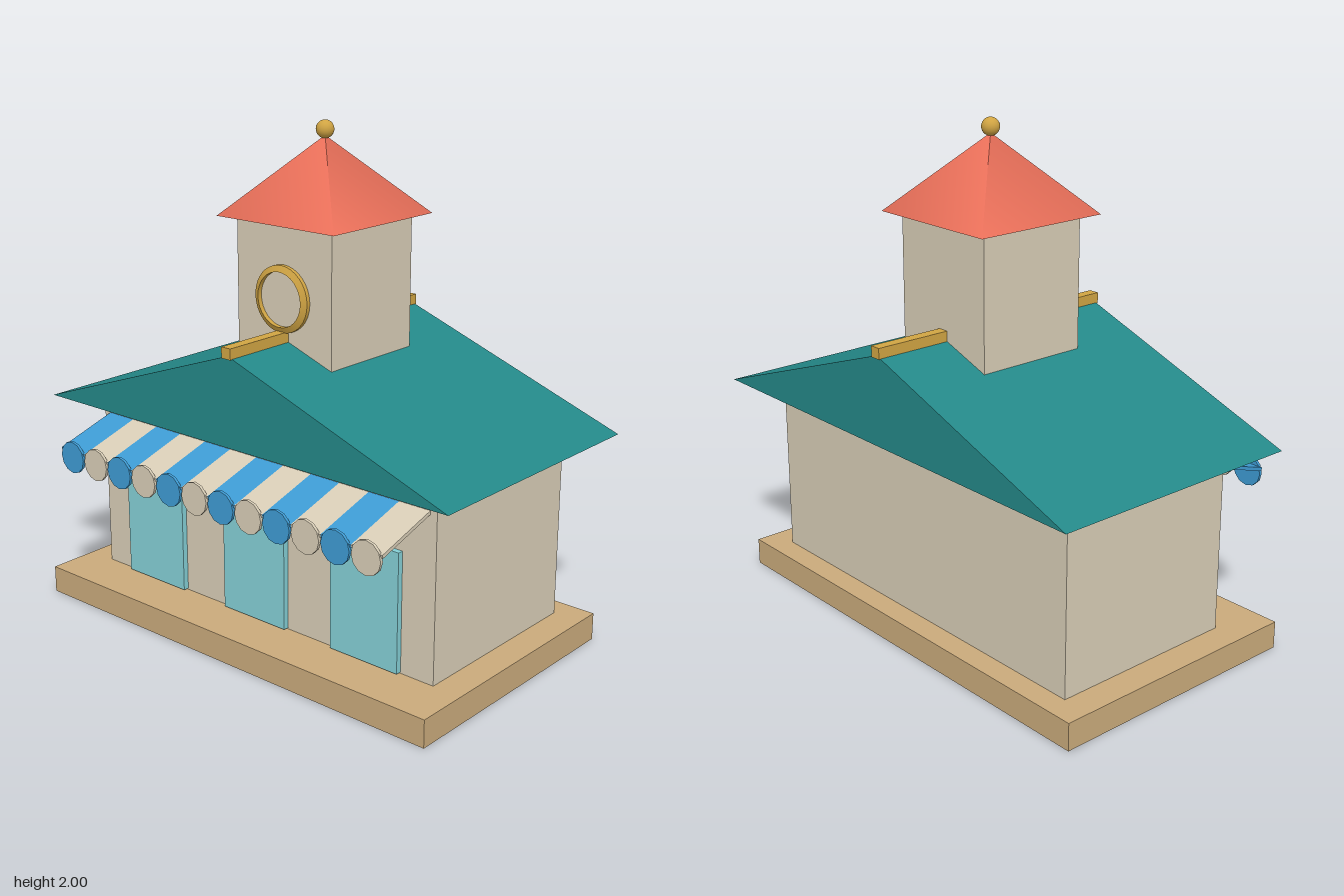
import * as THREE from 'three';
import { toCreasedNormals } from 'three/addons/utils/BufferGeometryUtils.js';

export function createModel() {
  const model = new THREE.Group();
  model.name = 'marketHall';

  const paint = (name, color) => {
    const m = new THREE.MeshStandardMaterial({ color });
    m.name = name;
    return m;
  };
  const cream = paint('cream', 0xd8cdb6);
  const tan = paint('tan', 0xc9aa7b);
  const teal = paint('teal', 0x248888);
  const red = paint('coral red', 0xe66e58);
  const gold = paint('gold', 0xd0a443);
  const blue = paint('blue', 0x3e9bd3);
  const glass = paint('pale aqua', 0x84cfd5);

  const add = (name, geometry, material, x = 0, y = 0, z = 0, parent = model) => {
    const mesh = new THREE.Mesh(geometry, material);
    mesh.name = name;
    mesh.position.set(x, y, z);
    parent.add(mesh);
    return mesh;
  };
  // Box given by its width, centred on x, and its y and z ranges
  const block = (name, material, x, width, y0, y1, z0, z1) =>
    add(name, new THREE.BoxGeometry(width, y1 - y0, z1 - z0), material,
      x, (y0 + y1) / 2, (z0 + z1) / 2);

  // Plinth and hall
  block('plinth', tan, 0, 1.94, 0, 0.11, -0.545, 0.55);
  block('hall', cream, 0, 1.7, 0.11, 0.848, -0.45, 0.34);

  // Three doors
  for (const x of [-0.545, 0, 0.545]) block('door', glass, x, 0.316, 0.115, 0.588, 0.335, 0.363);

  // Gabled main roof with a ridge beam
  const gable = new THREE.Shape([
    new THREE.Vector2(-1, 0.845),
    new THREE.Vector2(1, 0.845),
    new THREE.Vector2(0, 1.2),
  ]);
  add('mainRoof', new THREE.ExtrudeGeometry(gable, { depth: 1.085, bevelEnabled: false }),
    teal, 0, 0, -0.6);
  block('ridgeBeam', gold, 0, 0.045, 1.19, 1.233, -0.606, 0.494);

  // Tower, spire and finial
  const towerZ = -0.055;
  block('tower', cream, 0, 0.47, 1.0, 1.645, towerZ - 0.235, towerZ + 0.235);
  const spire = add('spire', new THREE.ConeGeometry(0.29 * Math.SQRT2, 0.3, 4), red, 0, 1.792, towerZ);
  spire.rotation.y = Math.PI / 4;
  add('finial', new THREE.SphereGeometry(0.035, 20, 14), gold, 0, 1.965, towerZ);

  // Round dial on the tower front
  const dial = new THREE.Group();
  dial.name = 'dial';
  dial.position.set(0, 1.357, 0.178);
  dial.rotation.x = Math.PI / 2;
  model.add(dial);
  const rim = [[0.106, 0], [0.13, 0], [0.13, 0.018], [0.106, 0.03], [0.106, 0]]
    .map(([r, y]) => new THREE.Vector2(r, y));
  add('dialRim', toCreasedNormals(new THREE.LatheGeometry(rim, 32), 0.5), gold, 0, 0, 0, dial);
  add('dialFace', new THREE.CylinderGeometry(0.107, 0.107, 0.009, 32), cream, 0, 0.006, 0, dial);

  // Striped awning with a scalloped edge
  const stripes = 12, pitch = 1.64 / stripes;
  for (let i = 0; i < stripes; i++) {
    const x = (i - (stripes - 1) / 2) * pitch;
    const material = i % 2 ? cream : blue;
    const stripe = add('awningStripe', new THREE.BoxGeometry(pitch, 0.014, 0.276), material, x, 0.725, 0.469);
    stripe.rotation.x = 0.296;
    const scallop = add('awningScallop', new THREE.CylinderGeometry(0.065, 0.065, 0.012, 12), material, x, 0.664, 0.601);
    scallop.rotation.x = Math.PI / 2;
  }

  return model;
}
